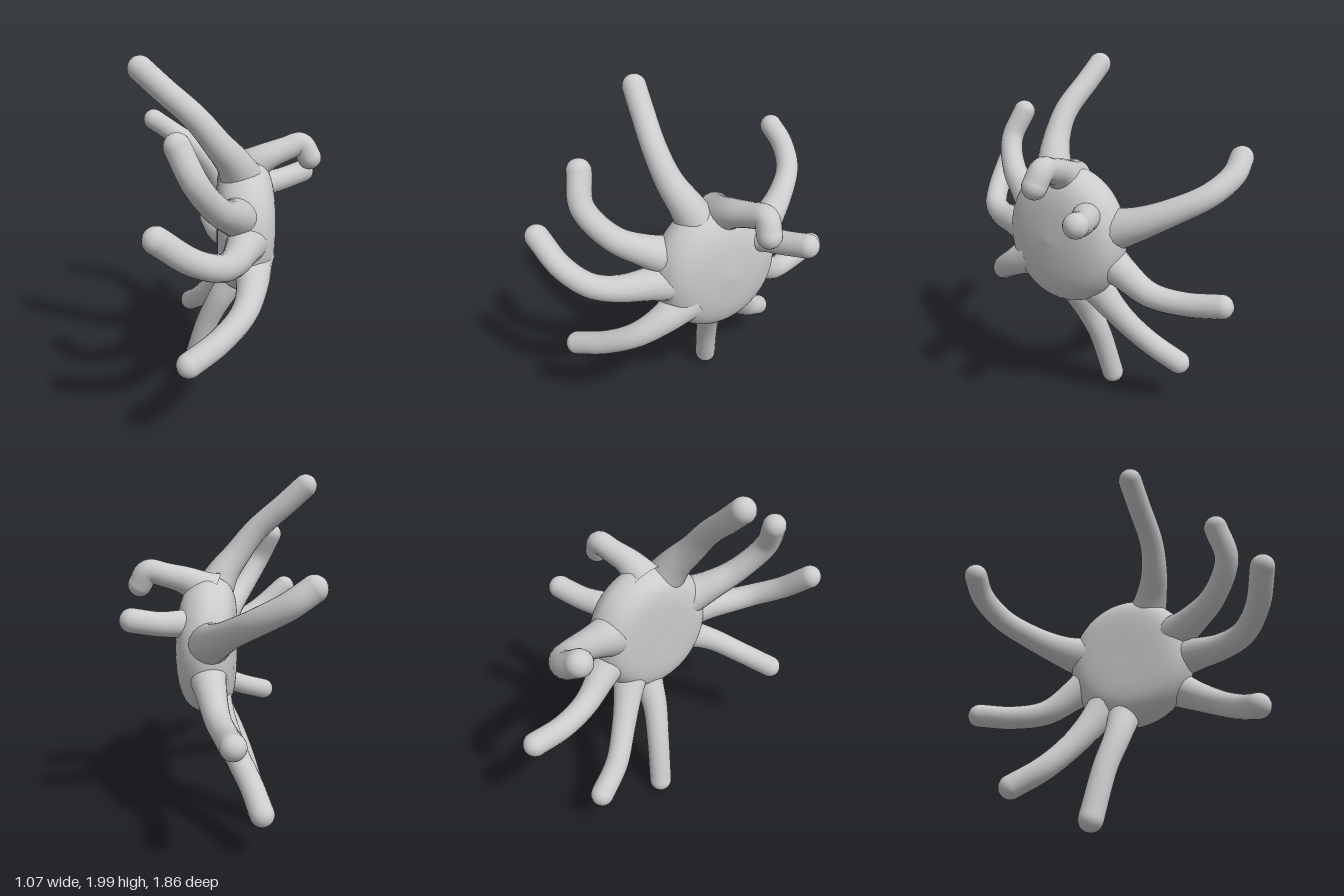
import * as THREE from 'three';

const V = (p) => new THREE.Vector3(...p);

// Arm paths, from the root inside the body to the centre of the rounded tip
const ARMS = {
  topArm: [[0.08, 1.3, 0.1], [0.02, 1.43, 0.16], [-0.06, 1.54, 0.205], [-0.17, 1.68, 0.225], [-0.34, 1.83, 0.205], [-0.45, 1.93, 0.19]],
  upperFrontArm: [[0.06, 1.15, 0.25], [0, 1.21, 0.4], [-0.07, 1.3, 0.55], [-0.17, 1.47, 0.66], [-0.25, 1.635, 0.625]],
  frontArm: [[0.1, 1.03, 0.25], [0.06, 1.03, 0.42], [0.01, 1.03, 0.58], [-0.06, 1.06, 0.71], [-0.19, 1.14, 0.81], [-0.34, 1.27, 0.87]],
  lowerFrontArm: [[0.12, 0.9, 0.2], [0.12, 0.81, 0.36], [0.07, 0.72, 0.52], [-0.06, 0.63, 0.66], [-0.21, 0.565, 0.77]],
  bottomArm: [[0.09, 0.85, 0], [0.04, 0.7, -0.02], [-0.05, 0.54, -0.03], [-0.13, 0.36, -0.065], [-0.215, 0.07, -0.105]],
  lowerBackArm: [[0.08, 0.85, -0.1], [0.01, 0.69, -0.18], [-0.08, 0.52, -0.28], [-0.18, 0.37, -0.4], [-0.25, 0.265, -0.55]],
  backArm: [[0.08, 0.98, -0.2], [0.04, 0.87, -0.33], [-0.01, 0.76, -0.48], [-0.07, 0.73, -0.66], [-0.12, 0.75, -0.86]],
  upperBackArm: [[0.06, 1.1, -0.25], [0, 1.15, -0.4], [-0.1, 1.23, -0.57], [-0.22, 1.31, -0.7], [-0.37, 1.4, -0.76], [-0.475, 1.475, -0.75]],
  outerTopArm: [[0.08, 1.34, 0], [0.2, 1.41, -0.02], [0.32, 1.45, -0.06], [0.41, 1.47, -0.085], [0.46, 1.395, -0.075]],
  outerBackArm: [[0.08, 1.17, -0.16], [0.21, 1.2, -0.21], [0.32, 1.21, -0.27], [0.455, 1.24, -0.335]],
};

const material = new THREE.MeshStandardMaterial({ color: 0xcccccc });
const TIP = 0.067;

// Round tube that flares where it meets the body, with a ball at its tip
function makeArm(name, points) {
  const arm = new THREE.Group();
  arm.name = name;
  const curve = new THREE.CatmullRomCurve3(points.map(V), false, 'centripetal');
  const rings = 40, sides = 20;
  const geo = new THREE.TubeGeometry(curve, rings, TIP, sides);
  const pos = geo.attributes.position;
  const v = new THREE.Vector3();
  for (let i = 0; i <= rings; i++) {
    const centre = curve.getPointAt(i / rings);
    const flare = 1 + 0.95 * Math.pow(1 - i / rings, 4);
    for (let j = 0; j <= sides; j++) {
      const k = i * (sides + 1) + j;
      v.fromBufferAttribute(pos, k).sub(centre).multiplyScalar(flare).add(centre);
      pos.setXYZ(k, v.x, v.y, v.z);
    }
  }
  const tube = new THREE.Mesh(geo, material);
  tube.name = name + 'Tube';
  const tip = new THREE.Mesh(new THREE.SphereGeometry(TIP, 20, 14), material);
  tip.name = name + 'Tip';
  tip.position.copy(V(points[points.length - 1]));
  arm.add(tube, tip);
  return arm;
}

// Thick disc, flatter on the inner side and domed on the outer side
function makeBody() {
  const profile = new THREE.SplineCurve([
    [0, -0.07], [0.24, -0.065], [0.34, -0.02], [0.38, 0.07], [0.365, 0.145],
    [0.31, 0.21], [0.2, 0.25], [0, 0.27],
  ].map(([r, h]) => new THREE.Vector2(r, h))).getPoints(36);
  profile.forEach((p) => { p.x = Math.max(p.x, 0); });
  const geo = new THREE.LatheGeometry(profile, 48);
  geo.rotateZ(-Math.PI / 2);
  geo.scale(1, 1.04, 0.98);
  const body = new THREE.Mesh(geo, material);
  body.name = 'body';
  body.position.set(0, 1.04, 0.015);
  return body;
}

export function createModel() {
  const model = new THREE.Group();
  model.name = 'manyArmedCreature';
  model.add(makeBody());
  for (const [name, points] of Object.entries(ARMS)) model.add(makeArm(name, points));
  return model;
}
